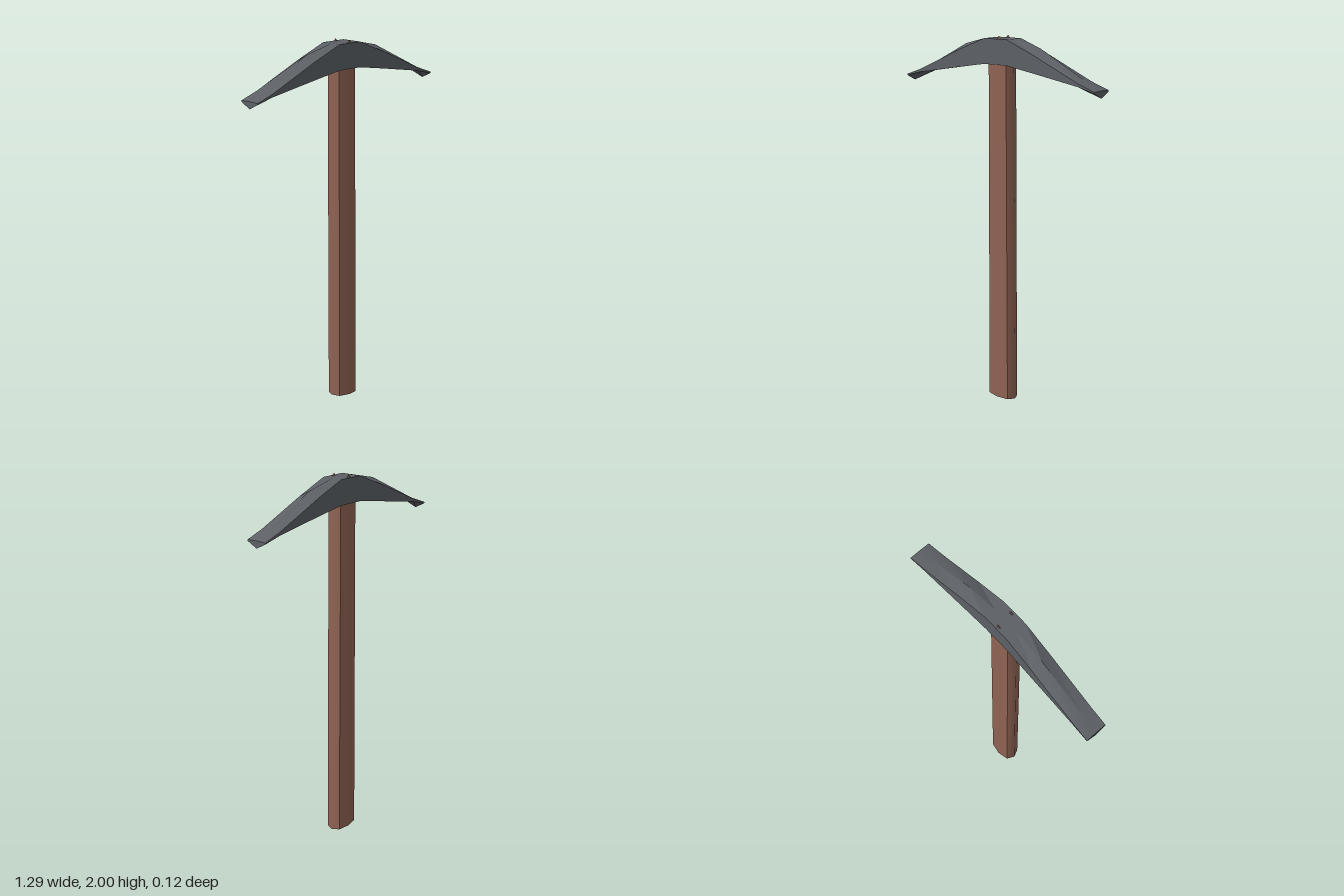
import * as THREE from 'three';
import { toCreasedNormals } from 'three/addons/utils/BufferGeometryUtils.js';

// Half-arm stations: x, side top, ridge top, side bottom, keel bottom
const ARM = [
  [0.075, 1.985, 1.985, 1.85, 1.85],
  [0.255, 1.915, 1.945, 1.822, 1.85],
  [0.54, 1.792, 1.802, 1.775, 1.778],
  [0.643, 1.757, 1.759, 1.75, 1.72],
];
const HALF_DEPTH = 0.06;

// Double-armed head lofted through six-point cross-sections
function headGeometry() {
  const stations = [...ARM].reverse().map(([x, ...ys]) => [-x, ...ys]).concat(ARM);
  const positions = [];
  const index = [];
  for (const [x, sideTop, ridge, sideBottom, keel] of stations) {
    positions.push(
      x, sideTop, HALF_DEPTH, x, ridge, 0, x, sideTop, -HALF_DEPTH,
      x, sideBottom, -HALF_DEPTH, x, keel, 0, x, sideBottom, HALF_DEPTH,
    );
  }
  for (let s = 0; s < stations.length - 1; s++) {
    for (let i = 0; i < 6; i++) {
      const a = s * 6 + i;
      const b = s * 6 + (i + 1) % 6;
      index.push(a, a + 6, b, b, a + 6, b + 6);
    }
  }
  // End caps, split along the centre so the keel notch stays clean
  const last = (stations.length - 1) * 6;
  for (const [i, j, k] of [[0, 1, 4], [0, 4, 5], [1, 2, 3], [1, 3, 4]]) {
    index.push(i, j, k, last + i, last + k, last + j);
  }
  const geometry = new THREE.BufferGeometry();
  geometry.setAttribute('position', new THREE.Float32BufferAttribute(positions, 3));
  geometry.setIndex(index);
  return toCreasedNormals(geometry, 0.4);
}

// Oval eight-sided shaft, slightly flared and cut at a slant at the foot
function handleGeometry() {
  const geometry = new THREE.CylinderGeometry(1, 1, 1.98, 8);
  geometry.translate(0, 0.99, 0);
  const p = geometry.attributes.position;
  for (let i = 0; i < p.count; i++) {
    const foot = p.getY(i) < 0.5;
    const cx = p.getX(i);
    const cz = p.getZ(i);
    const fuller = Math.abs(cx * cz) > 0.1 ? 1.08 : 1;
    p.setX(i, cx * fuller * (foot ? 0.085 : 0.077) + (foot ? 0.005 : -0.002));
    p.setZ(i, cz * fuller * 0.055);
    if (foot) p.setY(i, 0.0075 * (1 - cx));
  }
  return toCreasedNormals(geometry, 0.9);
}

export function createModel() {
  const wood = new THREE.MeshStandardMaterial({ color: 0x8f6353 });
  wood.name = 'brown wood';
  const iron = new THREE.MeshStandardMaterial({ color: 0x5c6065 });
  iron.name = 'grey iron';

  const model = new THREE.Group();
  model.name = 'pickaxe';
  const add = (name, geometry, material) => {
    const mesh = new THREE.Mesh(geometry, material);
    mesh.name = name;
    model.add(mesh);
    return mesh;
  };

  add('handle', handleGeometry(), wood);
  add('head', headGeometry(), iron);

  // Slivers of the shaft showing through the top of the head
  for (const side of [1, -1]) {
    const tip = new THREE.ConeGeometry(0.018, 0.02, 4).toNonIndexed();
    tip.scale(1, 1, 0.4);
    tip.computeVertexNormals();
    add(side > 0 ? 'frontHandleTip' : 'backHandleTip', tip, wood)
      .position.set(side > 0 ? 0.01 : 0, 1.99, side * 0.045);
  }
  return model;
}
